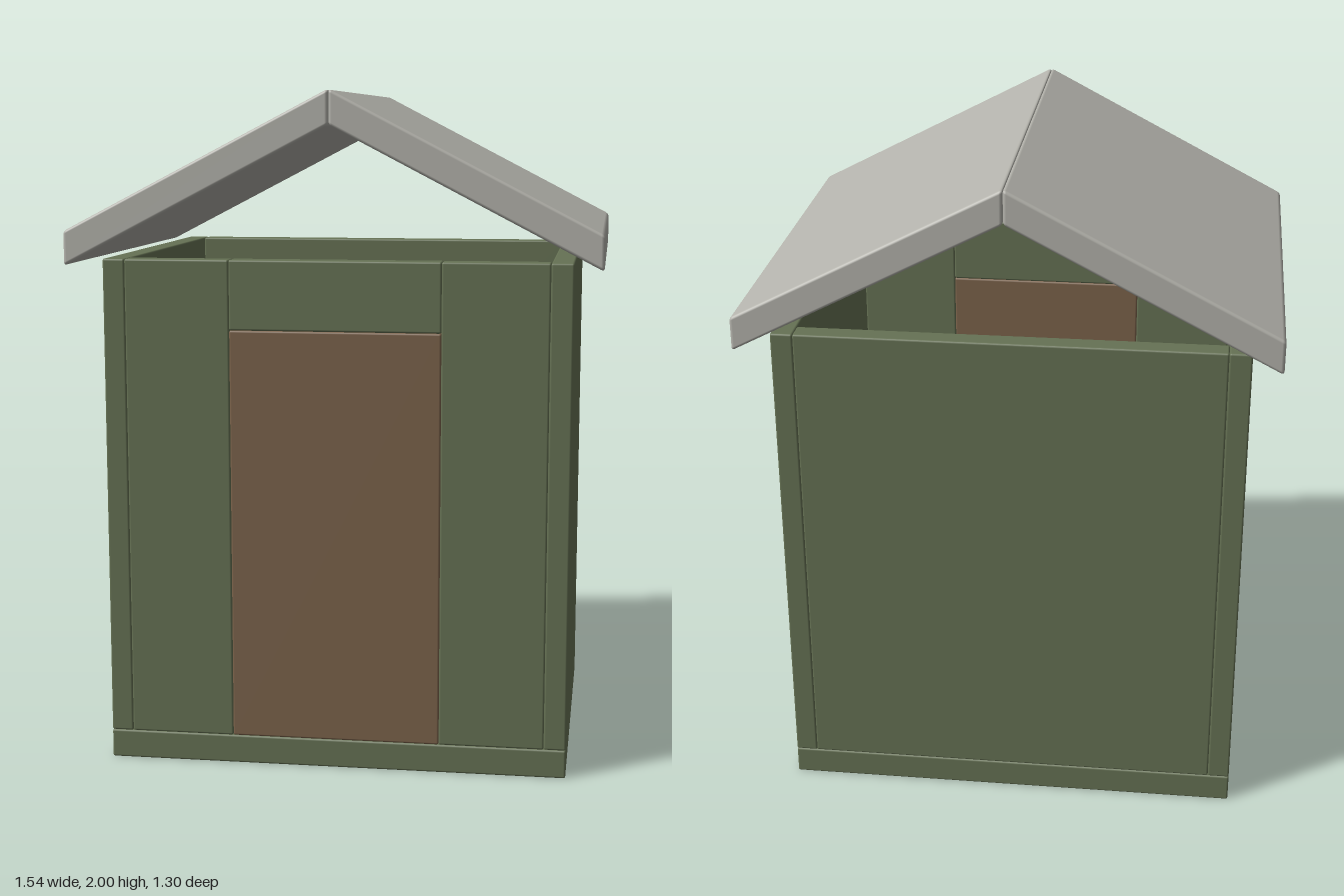
import * as THREE from 'three';
import { RoundedBoxGeometry } from 'three/addons/geometries/RoundedBoxGeometry.js';

const BASE_TOP = 0.085, WALL_TOP = 1.515, DOOR_TOP = 1.31;
const WIDTH = 0.685, DEPTH = 0.55, THICK = 0.065, DOOR_HALF = 0.31;
const ROOF_HALF = 0.77, ROOF_DEPTH = 1.305, ROOF_THICK = 0.1, RIDGE = 2, EAVE = 1.6;

function paint(name, color) {
  const material = new THREE.MeshStandardMaterial({ color });
  material.name = name;
  return material;
}

// Box with softly rounded edges, given by its lower and upper corners
function slab(name, material, min, max, radius = 0.006) {
  const size = max.map((v, i) => v - min[i]);
  const mesh = new THREE.Mesh(new RoundedBoxGeometry(...size, 2, radius), material);
  mesh.position.set(...max.map((v, i) => (v + min[i]) / 2));
  mesh.name = name;
  return mesh;
}

export function createModel() {
  const green = paint('moss green', 0x667254);
  const brown = paint('door brown', 0x7c634b);
  const grey = paint('roof grey', 0xb4b3ac);

  const shed = new THREE.Group();
  shed.name = 'shed';

  // Floor slab
  shed.add(slab('floor', green, [-WIDTH, 0, -DEPTH], [WIDTH, BASE_TOP, DEPTH]));

  // Back wall fits between the side walls
  const inner = WIDTH - THICK, frontZ = DEPTH - THICK;
  shed.add(slab('backWall', green, [-inner, BASE_TOP, -DEPTH], [inner, WALL_TOP, -frontZ]));

  // Door and the panel above it
  shed.add(slab('door', brown, [-DOOR_HALF, BASE_TOP, frontZ], [DOOR_HALF, DOOR_TOP, DEPTH]));
  shed.add(slab('doorLintel', green, [-DOOR_HALF, DOOR_TOP, frontZ], [DOOR_HALF, WALL_TOP, DEPTH]));

  for (const side of [-1, 1]) {
    const label = side > 0 ? 'left' : 'right';
    const span = (a, b) => (side > 0 ? [a, b] : [-b, -a]);

    // Side wall, full depth
    const [w0, w1] = span(inner, WIDTH);
    shed.add(slab(label + 'Wall', green, [w0, BASE_TOP, -DEPTH], [w1, WALL_TOP, DEPTH]));

    // Front panel beside the door
    const [p0, p1] = span(DOOR_HALF, inner);
    shed.add(slab(label + 'FrontPanel', green, [p0, BASE_TOP, frontZ], [p1, WALL_TOP, DEPTH]));

    // Roof half: a slab sheared down towards the eave, so its ends stay upright
    const [r0, r1] = span(0, ROOF_HALF);
    const roof = slab(label + 'Roof', grey,
      [r0, -ROOF_THICK / 2, -ROOF_DEPTH / 2], [r1, ROOF_THICK / 2, ROOF_DEPTH / 2], 0.01);
    const slope = -side * (RIDGE - EAVE) / ROOF_HALF;
    roof.geometry.applyMatrix4(new THREE.Matrix4().set(
      1, 0, 0, 0,
      slope, 1, 0, 0,
      0, 0, 1, 0,
      0, 0, 0, 1));
    roof.position.y = (RIDGE + EAVE - ROOF_THICK) / 2;
    shed.add(roof);
  }
  return shed;
}
